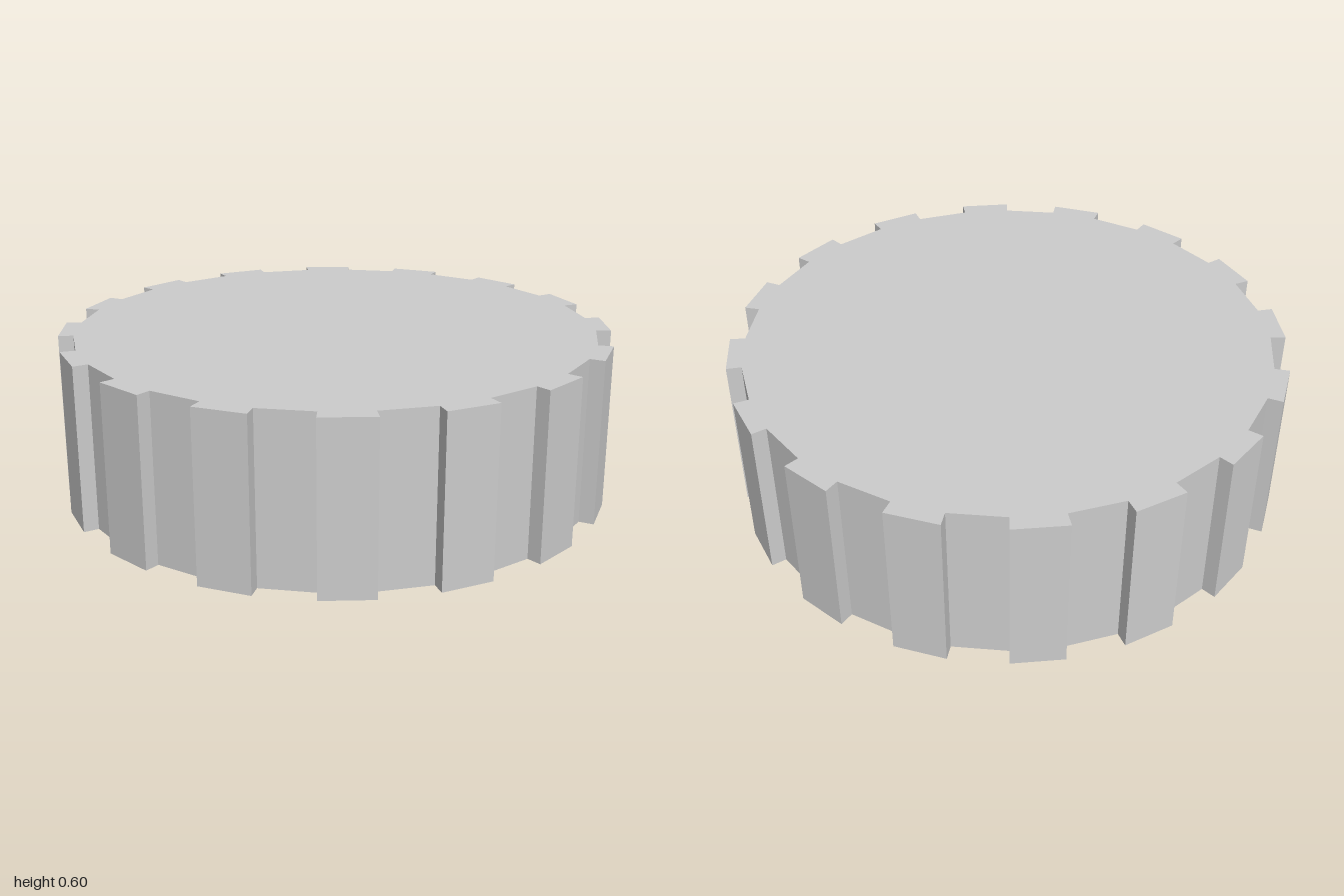
import * as THREE from 'three';

const TEETH = 16;
const HEIGHT = 0.596;
const OUTER = 1;
const INNER = 0.946;
const TOOTH_ANGLE = THREE.MathUtils.degToRad(10.7); // slightly narrower than the gap
const START = THREE.MathUtils.degToRad(0.25);

export function createModel() {
  const group = new THREE.Group();
  group.name = 'toothedDisc';

  // Outline: straight tooth tips and straight gaps joined by radial steps
  const polar = (r, a) => new THREE.Vector2(-r * Math.sin(a), r * Math.cos(a));
  const outline = [];
  for (let i = 0; i < TEETH; i++) {
    const a = START + (i / TEETH) * Math.PI * 2;
    const b = a + TOOTH_ANGLE;
    outline.push(polar(INNER, a), polar(OUTER, a), polar(OUTER, b), polar(INNER, b));
  }

  // Solid disc, extruded upward from the ground
  const geometry = new THREE.ExtrudeGeometry(new THREE.Shape(outline), {
    depth: HEIGHT,
    bevelEnabled: false,
  });
  geometry.rotateX(-Math.PI / 2);

  const material = new THREE.MeshStandardMaterial({ color: 0xcccccc, flatShading: true });
  const disc = new THREE.Mesh(geometry, material);
  disc.name = 'gearDisc';
  group.add(disc);
  return group;
}
